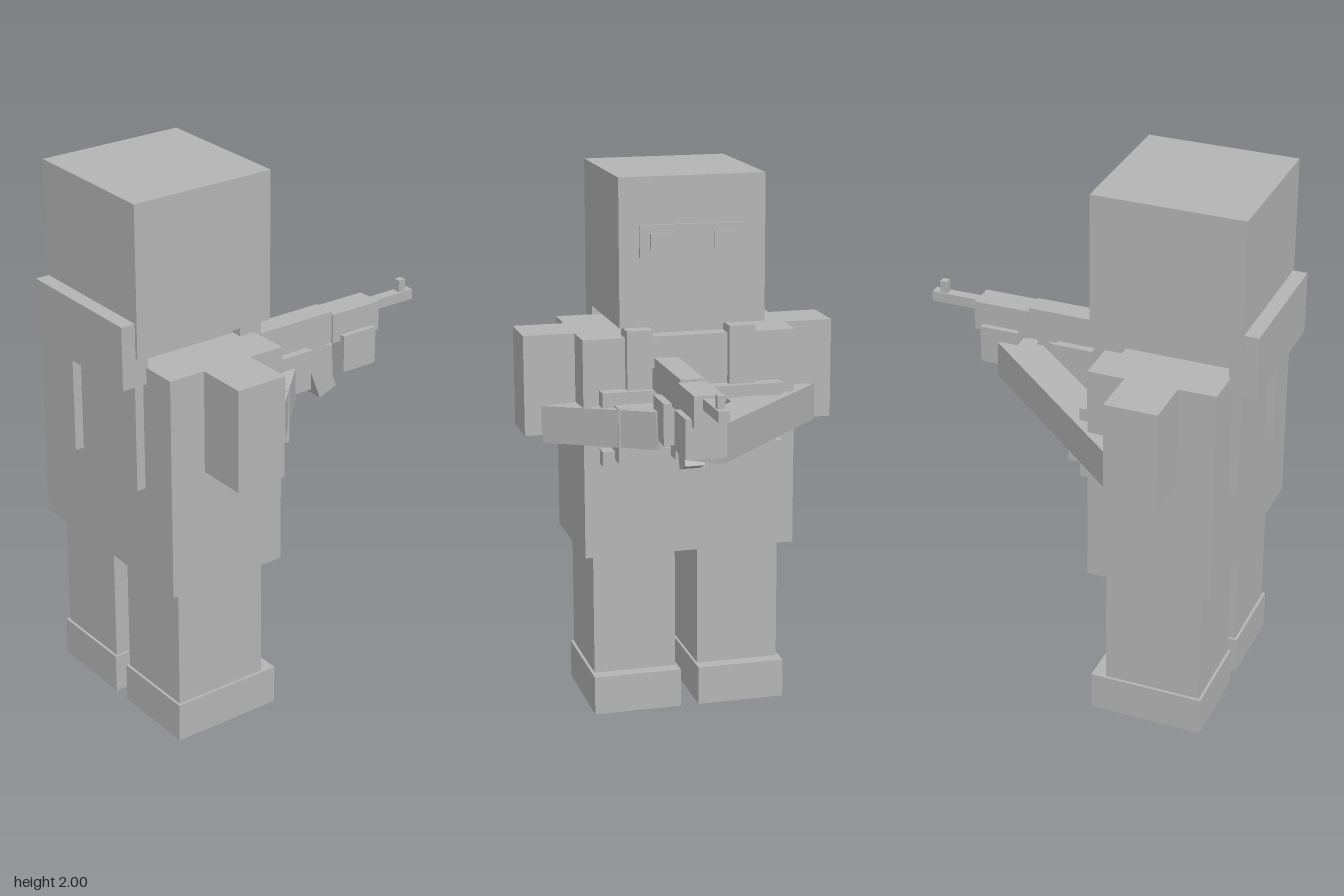
import * as THREE from 'three';

export function createModel() {
  const model = new THREE.Group();
  model.name = 'blockSoldier';
  const grey = new THREE.MeshStandardMaterial({ color: 0xb4b4b4, flatShading: true });
  grey.name = 'plain grey';

  // Box given by its extents along each axis
  function box(name, x0, x1, y0, y1, z0, z1, parent = model) {
    const mesh = new THREE.Mesh(new THREE.BoxGeometry(x1 - x0, y1 - y0, z1 - z0), grey);
    mesh.position.set((x0 + x1) / 2, (y0 + y1) / 2, (z0 + z1) / 2);
    mesh.name = name;
    parent.add(mesh);
    return mesh;
  }

  // Mirrored pair of boxes
  function pair(name, x0, x1, y0, y1, z0, z1, parent = model) {
    box(name + 'Left', x0, x1, y0, y1, z0, z1, parent);
    box(name + 'Right', -x1, -x0, y0, y1, z0, z1, parent);
  }

  // Square beam running between two points
  function beam(name, a, b, size) {
    const from = new THREE.Vector3(...a), to = new THREE.Vector3(...b);
    const mesh = new THREE.Mesh(new THREE.BoxGeometry(size, size, from.distanceTo(to)), grey);
    mesh.position.copy(from).lerp(to, 0.5);
    mesh.lookAt(to);
    mesh.name = name;
    model.add(mesh);
  }

  // Body and legs
  box('torso', -0.397, 0.393, 0.61, 1.42, 0.13, 0.587);
  box('neck', -0.2, 0.2, 1.42, 1.465, 0.19, 0.587);
  pair('leg', 0.043, 0.353, 0.145, 0.61, 0.183, 0.54);
  pair('boot', 0.034, 0.364, 0, 0.145, 0.13, 0.55);

  // Head, facing -z, with eye slot and hood roll behind
  box('head', -0.268, 0.268, 1.465, 2, 0.086, 0.628);
  box('eyeSlot', -0.195, 0.195, 1.715, 1.83, 0.075, 0.09);
  pair('eye', 0.077, 0.157, 1.74, 1.8, 0.066, 0.08);
  box('hoodRoll', -0.26, 0.257, 1.36, 1.587, 0.58, 0.68);

  // Harness: straps, two belts and three pouches
  const harness = new THREE.Group();
  harness.name = 'harness';
  model.add(harness);
  pair('backStrap', 0.142, 0.238, 0.965, 1.4, 0.58, 0.62, harness);
  pair('chestStrap', 0.142, 0.238, 0.98, 1.45, 0.1, 0.19, harness);
  box('upperBelt', -0.337, 0.335, 1.18, 1.235, 0.077, 0.14, harness);
  box('lowerBelt', -0.337, 0.335, 0.965, 1.02, 0.077, 0.14, harness);
  for (const x of [-0.208, 0, 0.208]) box('pouch', x - 0.083, x + 0.083, 0.99, 1.19, 0.015, 0.14, harness);

  // Arms reaching to the rifle
  pair('upperArm', 0.39, 0.582, 1.05, 1.42, 0.263, 0.452);
  beam('forearmLeft', [0.47, 1.09, 0.31], [0.13, 1.13, -0.05], 0.137);
  beam('forearmRight', [-0.47, 1.11, 0.31], [0.075, 1.145, -0.35], 0.137);
  box('rearHand', 0.03, 0.175, 1.095, 1.245, -0.172, -0.03);
  box('frontHand', 0.03, 0.175, 1.12, 1.26, -0.465, -0.32);

  // Rifle
  const rifle = new THREE.Group();
  rifle.name = 'rifle';
  model.add(rifle);
  box('stock', 0.07, 0.145, 1.235, 1.315, 0.06, 0.1, rifle);
  box('receiver', 0.06, 0.145, 1.235, 1.355, -0.287, 0.07, rifle);
  box('handguard', 0.052, 0.154, 1.235, 1.345, -0.495, -0.285, rifle);
  box('barrel', 0.084, 0.123, 1.297, 1.335, -0.68, -0.49, rifle);
  box('frontSight', 0.09, 0.117, 1.33, 1.38, -0.65, -0.622, rifle);
  const magazine = box('magazine', 0.067, 0.137, 1.035, 1.235, -0.285, -0.205, rifle);
  magazine.rotation.x = 0.37;

  return model;
}
